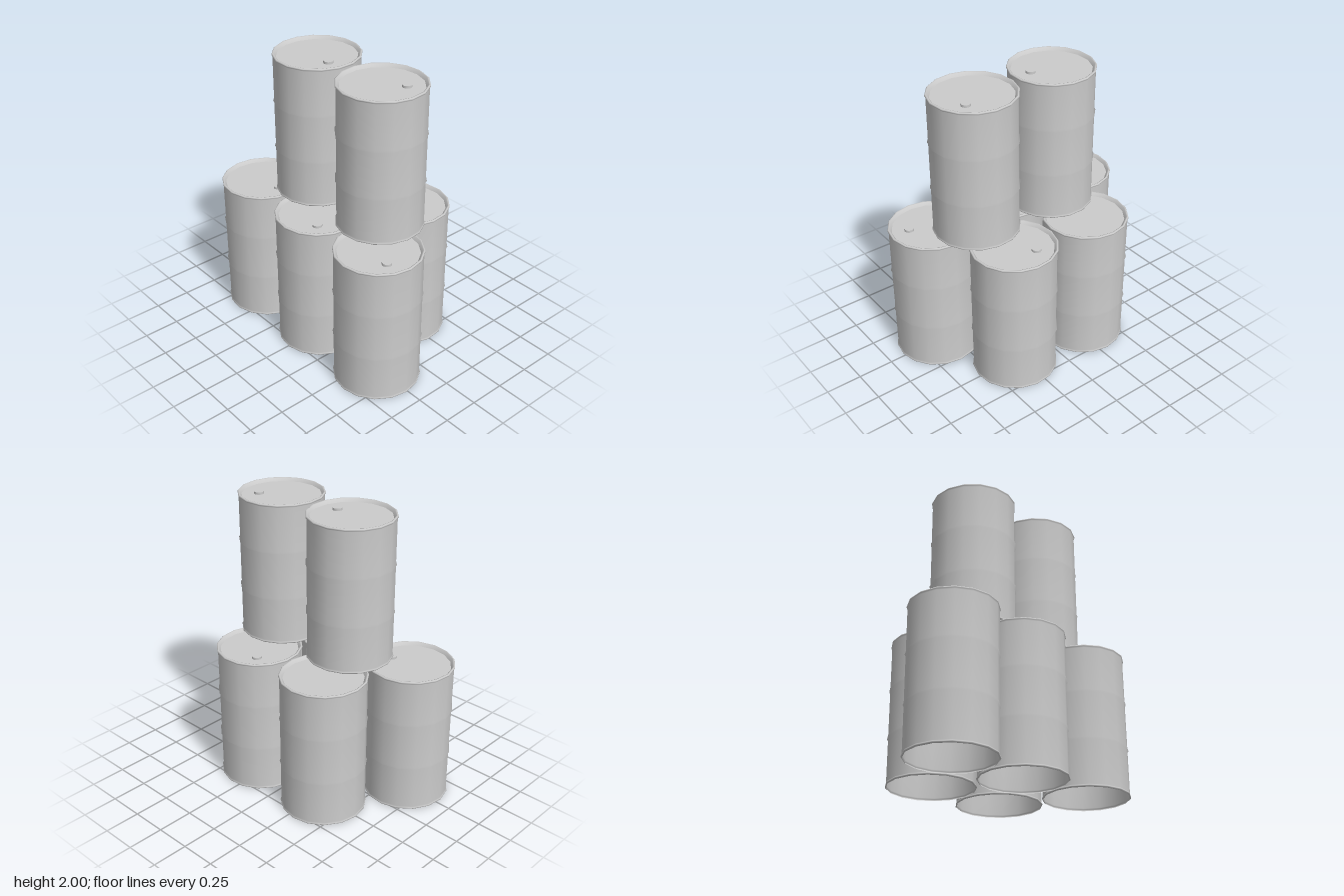
import * as THREE from 'three';

const SIDES = 16;
const material = new THREE.MeshStandardMaterial({ color: 0xcccccc, side: THREE.DoubleSide });

// Shell profile (radius, height): open foot, two rolled hoops, rim turned in down to the lid
const shellProfile = [
  [0.288, 0], [0.295, 0.005], [0.295, 0.012], [0.289, 0.02],
  [0.289, 0.322], [0.296, 0.33], [0.289, 0.338],
  [0.289, 0.655], [0.296, 0.663], [0.289, 0.671],
  [0.289, 0.975], [0.295, 0.983], [0.295, 0.99], [0.289, 0.995],
  [0.281, 0.993], [0.268, 0.972],
].map(([r, y]) => new THREE.Vector2(r, y));

const shellGeometry = new THREE.LatheGeometry(shellProfile, SIDES);
const lidGeometry = new THREE.CircleGeometry(0.268, SIDES).rotateX(-Math.PI / 2);
const plugGeometry = new THREE.CylinderGeometry(0.033, 0.033, 0.016, 12);

function part(name, geometry, x = 0, y = 0, z = 0) {
  const mesh = new THREE.Mesh(geometry, material);
  mesh.name = name;
  mesh.position.set(x, y, z);
  return mesh;
}

// The plug sits toward local +z, so turning the barrel places it
function makeBarrel(name, x, y, z, plugX, plugZ) {
  const barrel = new THREE.Group();
  barrel.name = name;
  const lid = part('lid', lidGeometry, 0, 0.972, 0);
  lid.rotation.y = Math.PI / 2; // line the lid's corners up with the shell
  barrel.add(part('shell', shellGeometry), lid, part('plug', plugGeometry, 0, 0.98, 0.151));
  barrel.position.set(x, y, z);
  barrel.rotation.y = Math.atan2(plugX, plugZ);
  return barrel;
}

export function createModel() {
  const group = new THREE.Group();
  group.name = 'barrelStack';
  // name, centre x, base y, centre z, direction of the plug in x and z
  const barrels = [
    ['lowerRightBackBarrel', -0.265, 0, -0.605, 0.012, 0.15],
    ['lowerRightMiddleBarrel', -0.265, 0, 0, -0.1, 0.11],
    ['lowerRightFrontBarrel', -0.265, 0, 0.595, -0.058, 0.14],
    ['lowerLeftBackBarrel', 0.263, 0, -0.305, -0.106, 0.106],
    ['lowerLeftFrontBarrel', 0.26, 0, 0.298, 0.113, -0.093],
    ['upperFrontBarrel', -0.052, 1.005, 0.373, 0.095, 0.115],
    ['upperBackBarrel', -0.052, 1.005, -0.248, -0.03, 0.15],
  ];
  for (const b of barrels) group.add(makeBarrel(...b));
  return group;
}
